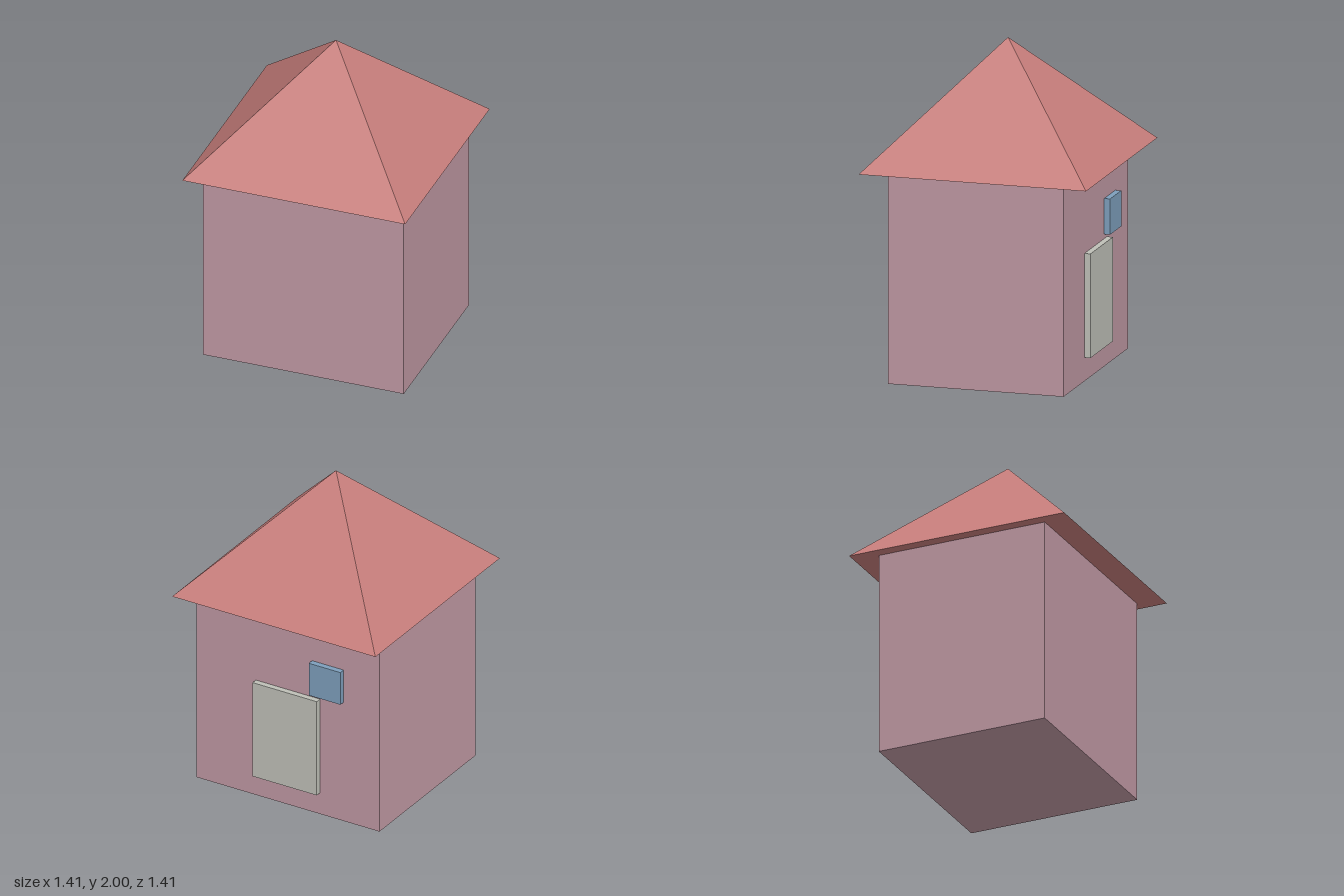
import * as THREE from 'three';

const material = (name, color) => {
  const m = new THREE.MeshStandardMaterial({ color });
  m.name = name;
  return m;
};

export function createModel() {
  const wallPink = material('wall pink', 0xbe97a2);
  const roofRed = material('roof red', 0xc67d7b);
  const doorGrey = material('door grey', 0xbebfb7);
  const windowBlue = material('window blue', 0x7d9ebb);

  const house = new THREE.Group();
  house.name = 'house';

  // Box given by its lower and upper corners
  function addBox(name, mat, [x0, y0, z0], [x1, y1, z1]) {
    const mesh = new THREE.Mesh(new THREE.BoxGeometry(x1 - x0, y1 - y0, z1 - z0), mat);
    mesh.position.set((x0 + x1) / 2, (y0 + y1) / 2, (z0 + z1) / 2);
    mesh.name = name;
    house.add(mesh);
  }

  const eaves = 1.277;
  const back = -0.543;
  const plateFront = -0.58;

  addBox('walls', wallPink, [-0.634, 0, back], [0.634, eaves, -back]);

  // Door and window stand proud of the back wall
  addBox('door', doorGrey, [-0.222, 0.143, plateFront], [0.222, 0.776, back]);
  addBox('window', windowBlue, [-0.386, 0.803, plateFront], [-0.167, 1.02, back]);

  // Four-sided pyramid roof with a closed underside
  const roofHeight = 2 - eaves;
  const roofGeometry = new THREE.ConeGeometry(0.704 * Math.SQRT2, roofHeight, 4)
    .rotateY(Math.PI / 4)
    .toNonIndexed();
  roofGeometry.computeVertexNormals();
  const roof = new THREE.Mesh(roofGeometry, roofRed);
  roof.position.y = eaves + roofHeight / 2;
  roof.name = 'roof';
  house.add(roof);

  return house;
}
